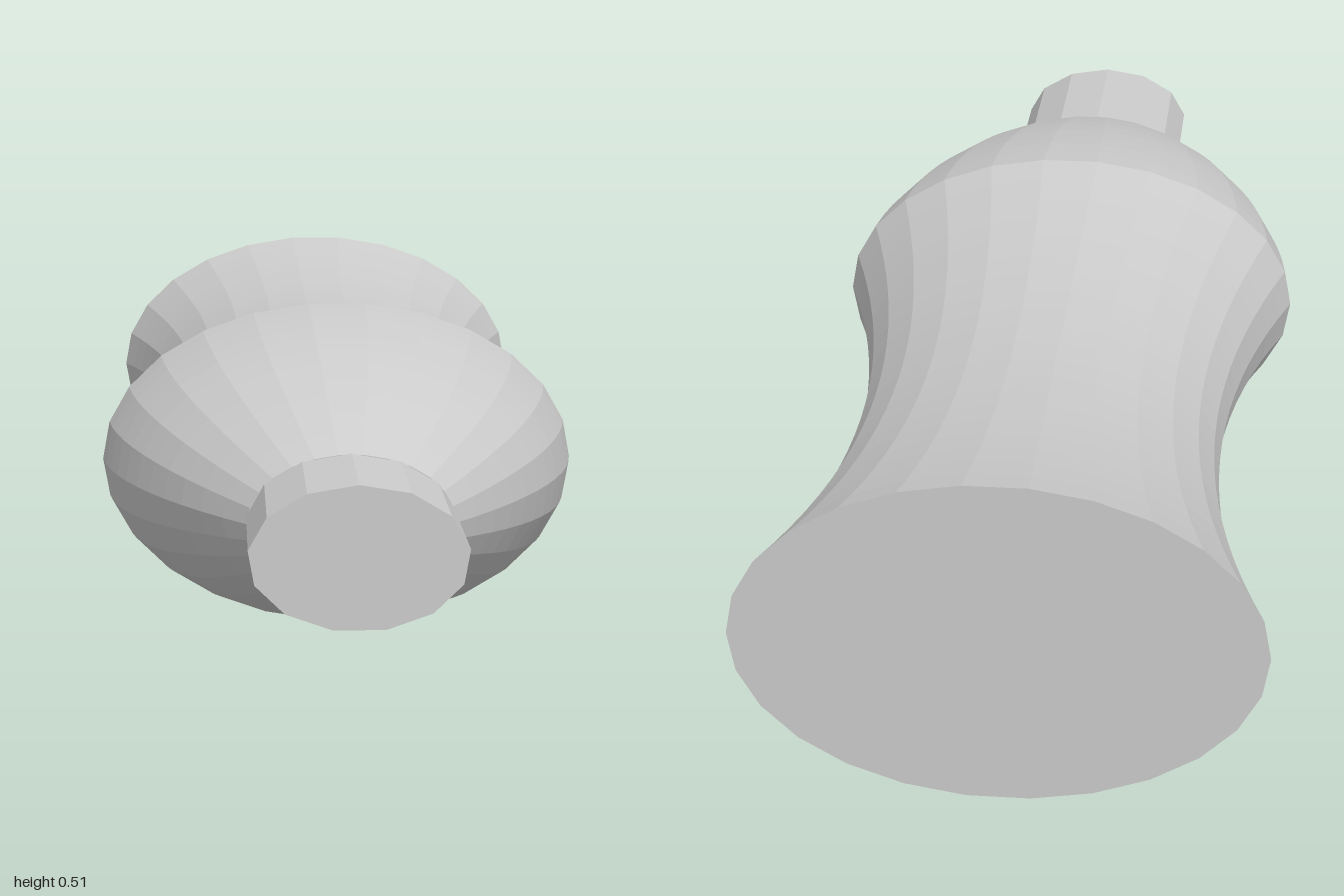
import * as THREE from 'three';

const FLATTEN = 2 / 3;   // height of the oval section relative to its width
const CENTRE_Y = 0.258;

// Turns a [radius, z] profile about the z axis and squashes it into an oval section.
function ovalTurning(name, profile, sides, phiStart) {
  const geometry = new THREE.LatheGeometry(
    profile.map(([r, z]) => new THREE.Vector2(r, z)), sides, phiStart);
  geometry.rotateX(Math.PI / 2);
  geometry.scale(1, FLATTEN, 1);
  geometry.translate(0, CENTRE_Y, 0);
  const mesh = new THREE.Mesh(geometry,
    new THREE.MeshStandardMaterial({ color: 0xcccccc, flatShading: true }));
  mesh.name = name;
  return mesh;
}

// Samples radius(z) evenly between two z positions.
function sample(z0, z1, steps, radius) {
  return Array.from({ length: steps + 1 }, (_, i) => {
    const z = z0 + (z1 - z0) * i / steps;
    return [radius(z), z];
  });
}

export function createModel() {
  const model = new THREE.Group();
  model.name = 'turnedHandle';

  // waisted grip, flaring to a flat butt at the back
  const grip = sample(-1, 0.16, 20, z => 0.289 + 0.097 * ((z + 0.42) / 0.58) ** 2);
  // bulb that tapers to the neck
  const bulb = sample(0.16, 0.742, 11, z => {
    const t = z - 0.16;
    return 0.386 - 0.1 * t - 0.515 * t * t;
  });
  model.add(ovalTurning('gripBody', [[0, -1], ...grip, ...bulb.slice(1), [0, 0.742]], 26, Math.PI / 2));

  // straight faceted neck with a flat front end
  const neck = [[0, 0.7], [0.155, 0.7], [0.155, 1], [0, 1]];
  model.add(ovalTurning('neck', neck, 13, Math.PI));

  return model;
}
